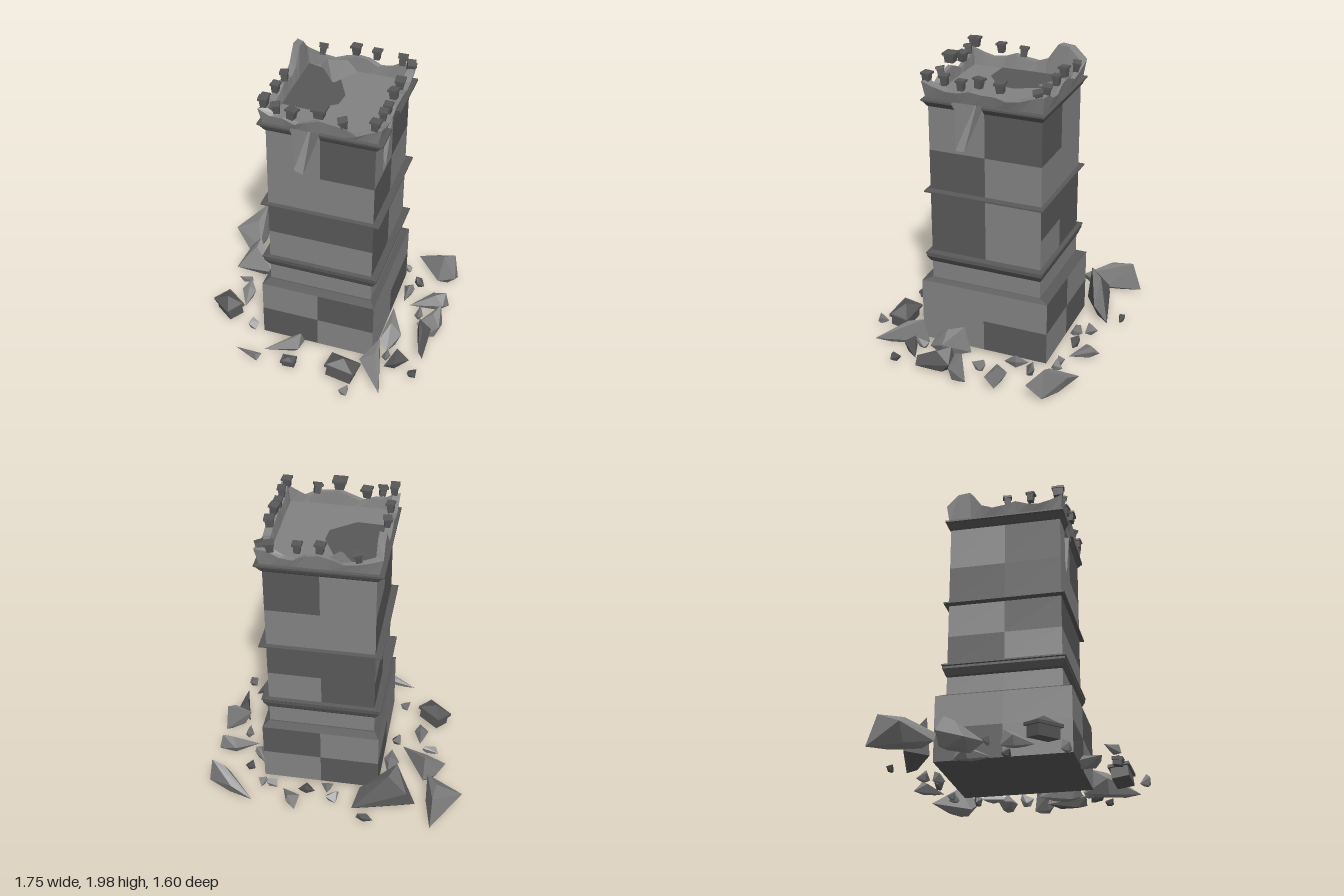
import * as THREE from 'three';
import { ConvexGeometry } from 'three/addons/geometries/ConvexGeometry.js';

const HX = 0.355, HZ = 0.38; // half width and half depth of the shaft
const tone = (color) => new THREE.MeshStandardMaterial({ color, flatShading: true, side: THREE.DoubleSide });
const light = tone(0x828282), dark = tone(0x585858);

function mesh(name, geometry, parent, material = light) {
  const m = new THREE.Mesh(geometry, material);
  m.name = name;
  parent.add(m);
  return m;
}

// half length and distance of side k (0 front, 1 left, 2 back, 3 right) pushed out by d
function extent(k, d, zScale) {
  const x = HX + d, z = HZ + d * zScale;
  return k % 2 ? [z, x] : [x, z];
}

function triangles(p) {
  const g = new THREE.BufferGeometry();
  g.setAttribute('position', new THREE.Float32BufferAttribute(p, 3));
  g.computeVertexNormals();
  return g;
}

// quads between rows of points
function grid(rows) {
  const p = [];
  for (let i = 0; i + 1 < rows.length; i++) {
    for (let j = 0; j + 1 < rows[i].length; j++) {
      const a = rows[i][j], b = rows[i][j + 1], c = rows[i + 1][j + 1], d = rows[i + 1][j];
      p.push(...a, ...b, ...c, ...a, ...c, ...d);
    }
  }
  return triangles(p);
}

// mitred moulding round the tower; gaps[k] = [from, to] is broken away on side k
function band(name, profile, zScale, parent, gaps = {}) {
  for (let k = 0; k < 4; k++) {
    const gap = gaps[k];
    const spans = gap ? [[-9, gap[0]], [gap[1], 9]] : [[-9, 9]];
    for (const [from, to] of spans) {
      const rows = profile.map(([d, y]) => {
        const [half, dist] = extent(k, d, zScale);
        const clamp = (s) => Math.max(-half, Math.min(half, s));
        return [[clamp(from), y, dist], [clamp(to), y, dist]];
      });
      mesh(name, grid(rows), parent, dark).rotation.y = k * Math.PI / 2;
    }
  }
}

// one course of wall, two patches per side; tones lists L or D for each patch,
// notches[k] is a broken wedge reaching the top edge of the first patch
function course(name, y0, y1, d, tones, parent, notches = {}) {
  for (let k = 0; k < 4; k++) {
    const [half, dist] = extent(k, d, 1.6);
    const notch = notches[k] ?? [];
    const first = [[-half, y0], [0, y0], ...(notch.length ? [...notch].reverse() : [[0, y1]]), [-half, y1]];
    const second = [[0, y0], [half, y0], [half, y1], [0, y1]];
    [first, second].forEach((outline, i) => {
      const g = new THREE.ShapeGeometry(new THREE.Shape(outline.map(([x, y]) => new THREE.Vector2(x, y))));
      g.translate(0, 0, dist);
      mesh(name, g, parent, tones[k * 2 + i] === 'D' ? dark : light).rotation.y = k * Math.PI / 2;
    });
    const p = [];
    for (let i = 0; i + 1 < notch.length; i++) {
      p.push(...notch[i], dist, ...notch[i + 1], dist, -0.09, 1.79, dist - 0.12);
    }
    if (p.length) mesh('brokenWedge', triangles(p), parent).rotation.y = k * Math.PI / 2;
  }
}

// ragged parapet along one side, flaring outwards
function parapet(k, heights, parent) {
  const row = (d, y) => heights.map((h, j) => {
    const [half, dist] = extent(k, d, 0.6);
    return [(j / (heights.length - 1) * 2 - 1) * half, y ?? h, dist];
  });
  const g = grid([row(0.015, 1.79), row(0.04), row(-0.01), row(-0.03, 1.78)]);
  mesh('parapet', g, parent).rotation.y = k * Math.PI / 2;
}

// small tapered block with a flat cap
function merlon(k, s, y, w, tilt, parent) {
  const side = new THREE.Group(), g = new THREE.Group();
  side.name = 'merlonSide';
  g.name = 'merlon';
  side.rotation.y = k * Math.PI / 2;
  g.position.set(s, y, extent(k, 0.005, 1)[1]);
  g.rotation.set(tilt * 0.5, tilt, tilt * 0.4);
  const block = mesh('merlonBlock', new THREE.CylinderGeometry(w * 0.58, w * 0.48, 0.055, 4, 1), g, dark);
  block.rotation.y = Math.PI / 4;
  mesh('merlonCap', new THREE.BoxGeometry(w * 1.1, 0.014, w), g, dark).position.y = 0.032;
  side.add(g);
  parent.add(side);
}

// angular rock over a plan outline of x, z pairs, its ridge rising to height h towards the given corner
function rock(h, peak, plan, parent, material) {
  const n = plan.length / 2, pts = [];
  let cx = 0, cz = 0;
  for (let i = 0; i < n; i++) { cx += plan[2 * i] / n; cz += plan[2 * i + 1] / n; }
  const add = (i, f, y) => pts.push(new THREE.Vector3(cx + (plan[2 * i] - cx) * f, y, cz + (plan[2 * i + 1] - cz) * f));
  for (let i = 0; i < n; i++) {
    add(i, 1, 0.05 + (i % 2) * h * 0.3);
    add(i, 0.5, h > 0.2 ? 0.02 : 0.035);
  }
  add(peak, 0.1, h * 0.85);
  add(peak, 0.75, h);
  mesh('rock', new ConvexGeometry(pts), parent, material);
}

export function createModel() {
  const model = new THREE.Group();
  model.name = 'ruinedTower';
  const tower = new THREE.Group();
  tower.name = 'tower';
  tower.position.set(0.095, 0, -0.05);
  model.add(tower);

  // patched walls from the ground up
  course('plinth', 0.06, 0.28, 0.04, 'DLLDLDDL', tower);
  course('plinth', 0.28, 0.5, 0.04, 'LDLLDLLL', tower);
  course('lowerWall', 0.52, 0.725, 0, 'LLLLLLLL', tower);
  course('lowerWall', 0.725, 0.93, 0, 'LLDLLDDL', tower);
  course('middleWall', 0.93, 1.16, 0, 'DDDLDDLD', tower);
  course('upperWall', 1.16, 1.44, 0, 'LLDLLLDD', tower);
  course('upperWall', 1.44, 1.79, 0, 'LDLDDLLD', tower, {
    0: [[-0.185, 1.79], [-0.175, 1.47], [-0.115, 1.445], [0, 1.79]],
    1: [[-0.2, 1.79], [-0.2, 1.46], [-0.14, 1.46], [0, 1.79]],
  });

  // mouldings
  band('plinthSlope', [[0.04, 0.5], [0.005, 0.52], [0, 0.52]], 1.6, tower);
  band('lowerCornice', [[0, 0.64], [0.012, 0.65], [0.038, 0.69], [0.038, 0.705], [0.046, 0.71], [0.046, 0.72], [0, 0.725]], 0.6, tower);
  band('stringCourse', [[0, 1.155], [0.045, 1.158], [0.045, 1.167], [0, 1.172]], 0.6, tower);
  band('upperCornice', [[0, 1.735], [0.012, 1.745], [0.035, 1.775], [0.048, 1.78], [0.048, 1.792], [0.01, 1.797]], 0.6, tower,
    { 0: [-0.185, 0], 1: [-0.2, 0] });

  // roof deck with a worn dark patch and a heap of rubble, and the underside
  mesh('roofDeck', new THREE.BoxGeometry(2 * HX - 0.01, 0.012, 2 * HZ - 0.01), tower).position.y = 1.789;
  const worn = new THREE.Shape([[-0.34, 0.36], [-0.1, 0.3], [0.02, 0.06], [0.01, -0.05], [-0.15, -0.17], [-0.34, -0.16]]
    .map(([x, y]) => new THREE.Vector2(x, y)));
  const patch = mesh('wornPatch', new THREE.ShapeGeometry(worn), tower, dark);
  patch.rotation.x = -Math.PI / 2;
  patch.position.y = 1.798;
  const heap = [[-0.25, 1.79, -0.36], [-0.1, 1.79, -0.16], [0.01, 1.79, -0.36], [-0.06, 1.87, -0.36], [-0.2, 1.85, -0.36]];
  mesh('roofHeap', new ConvexGeometry(heap.map((p) => new THREE.Vector3(...p))), tower);
  const bottom = mesh('underside', new THREE.PlaneGeometry(2 * (HX + 0.04), 2 * (HZ + 0.064)), tower, dark);
  bottom.rotation.x = Math.PI / 2;
  bottom.position.y = 0.06;

  // parapets, front then counter-clockwise
  [
    [1.9, 1.86, 1.86, 1.83, 1.86, 1.89, 1.88, 1.87, 1.83, 1.87, 1.91],
    [1.91, 1.88, 1.86, 1.86, 1.88, 1.87, 1.87, 1.85, 1.86, 1.89, 1.91],
    [1.91, 1.9, 1.86, 1.85, 1.89, 1.9, 1.88, 1.85, 1.86, 1.88, 1.91],
    [1.91, 1.99, 2.0, 1.89, 1.86, 1.87, 1.89, 1.86, 1.85, 1.87, 1.9],
  ].forEach((h, k) => parapet(k, h, tower));

  // surviving merlons: side, position along it, height, width, tilt
  [
    [0, -0.36, 1.94, 0.055, 0.1], [0, -0.28, 1.91, 0.055, 0.3], [0, -0.18, 1.89, 0.065, -0.2], [0, 0.0, 1.94, 0.085, 0],
    [0, 0.15, 1.89, 0.055, 0.4], [0, 0.35, 1.92, 0.06, -0.1],
    [1, -0.26, 1.92, 0.055, 0.1], [1, -0.15, 1.9, 0.055, 0], [1, -0.03, 1.93, 0.06, -0.2], [1, 0.11, 1.92, 0.065, 0.1], [1, 0.36, 1.9, 0.06, 0.4],
    [2, -0.3, 1.92, 0.06, 0.2], [2, -0.13, 1.93, 0.055, 0], [2, 0.01, 1.94, 0.06, -0.1], [2, 0.24, 1.9, 0.055, 0.3],
    [3, 0.02, 1.91, 0.055, 0.2], [3, 0.18, 1.92, 0.055, -0.1], [3, 0.36, 1.94, 0.055, 0],
  ].forEach((m) => merlon(...m, tower));

  const rubble = new THREE.Group();
  rubble.name = 'rubble';
  model.add(rubble);

  // large shards
  rock(0.25, 0, [-0.69, -0.8, -0.88, -0.53, -0.7, -0.37, -0.63, -0.38, -0.64, -0.56], rubble);
  rock(0.24, 2, [-0.74, -0.18, -0.69, -0.37, -0.6, -0.37, -0.43, -0.13], rubble);
  rock(0.31, 4, [-0.57, -0.6, -0.51, -0.61, -0.15, -0.71, -0.19, -0.6, -0.45, -0.47], rubble, dark);
  rock(0.25, 2, [0.53, -0.74, 0.68, -0.71, 0.86, -0.6, 0.86, -0.49, 0.73, -0.51], rubble);
  rock(0.17, 2, [0.6, -0.19, 0.74, -0.32, 0.87, -0.28, 0.84, -0.2], rubble);
  rock(0.25, 0, [0.87, -0.08, 0.71, 0.05, 0.79, 0.07, 0.87, 0.04], rubble);
  rock(0.2, 0, [0.72, 0.04, 0.79, 0.3, 0.82, 0.3, 0.82, 0.06], rubble, dark);
  rock(0.24, 0, [0.54, 0.02, 0.51, 0.28, 0.57, 0.31, 0.64, 0.19], rubble);
  rock(0.22, 0, [0.53, 0.33, 0.43, 0.5, 0.63, 0.7, 0.56, 0.48], rubble);
  rock(0.13, 2, [-0.24, 0.56, -0.06, 0.39, 0, 0.39, 0, 0.52], rubble);
  rock(0.14, 0, [-0.35, -0.35, -0.42, -0.26, -0.35, -0.1, -0.31, -0.24], rubble);
  rock(0.15, 0, [-0.54, -0.01, -0.59, 0.08, -0.52, 0.2, -0.49, 0.07], rubble);
  rock(0.13, 1, [0.23, -0.78, 0.29, -0.75, 0.34, -0.6, 0.21, -0.68], rubble);
  rock(0.14, 1, [0.51, -0.38, 0.6, -0.32, 0.55, -0.22], rubble);
  rock(0.1, 2, [-0.43, 0.6, -0.23, 0.63, -0.25, 0.68], rubble);
  rock(0.17, 1, [0.59, 0.45, 0.66, 0.36, 0.74, 0.34, 0.66, 0.46], rubble, dark);

  // fallen merlon blocks with a slab and a broken, pointed top
  for (const [x, z, turn, w, tilt] of [[-0.61, 0.27, -0.65, 0.2, 0.15], [0.34, 0.61, -0.07, 0.21, -0.12], [-0.03, 0.63, 0, 0.1, 0.1]]) {
    const block = new THREE.Group();
    block.name = 'fallenBlock';
    block.position.set(x, 0.04 + w * 0.25, z);
    block.rotation.set(tilt, turn, tilt);
    mesh('fallenCore', new THREE.BoxGeometry(w * 0.85, w * 0.4, w * 0.55), block, dark);
    mesh('fallenSlab', new THREE.BoxGeometry(w, 0.02, w * 0.68), block, dark).position.y = w * 0.2;
    const top = new THREE.ConeGeometry(w * Math.SQRT1_2, w * 0.25, 4).rotateY(Math.PI / 4).scale(0.95, 1, 0.64);
    mesh('brokenTop', top, block, dark).position.y = w * 0.36;
    rubble.add(block);
  }

  // small chips: x, z, half length, half width, turn
  [
    [-0.25, -0.79, 0.06, 0.025, 0.2], [-0.01, -0.64, 0.05, 0.05, 0.7], [0.04, -0.55, 0.045, 0.045, 0.9], [0.18, -0.59, 0.06, 0.035, 0],
    [0.42, -0.57, 0.05, 0.03, 0.4], [0.49, -0.57, 0.035, 0.04, 1], [0.61, -0.43, 0.04, 0.035, 0.3], [0.69, -0.1, 0.03, 0.05, -0.3],
    [-0.63, -0.07, 0.065, 0.025, 0.1], [-0.37, -0.01, 0.04, 0.04, 0.7], [-0.39, 0.37, 0.04, 0.04, 0.8], [0.4, 0.76, 0.035, 0.045, 0.6],
    [0.79, 0.46, 0.04, 0.04, 0.7], [0.58, 0.36, 0.03, 0.05, -0.4],
  ].forEach(([x, z, a, b, turn], i) => {
    const plan = [];
    for (let j = 0; j < 4; j++) {
      const t = turn + j * Math.PI / 2 + (i % 3) * 0.15 * j;
      plan.push(x + a * Math.cos(t), z + b * Math.sin(t));
    }
    rock(0.09 + (i % 4) * 0.012, i % 4, plan, rubble, i % 3 ? light : dark);
  });
  return model;
}
